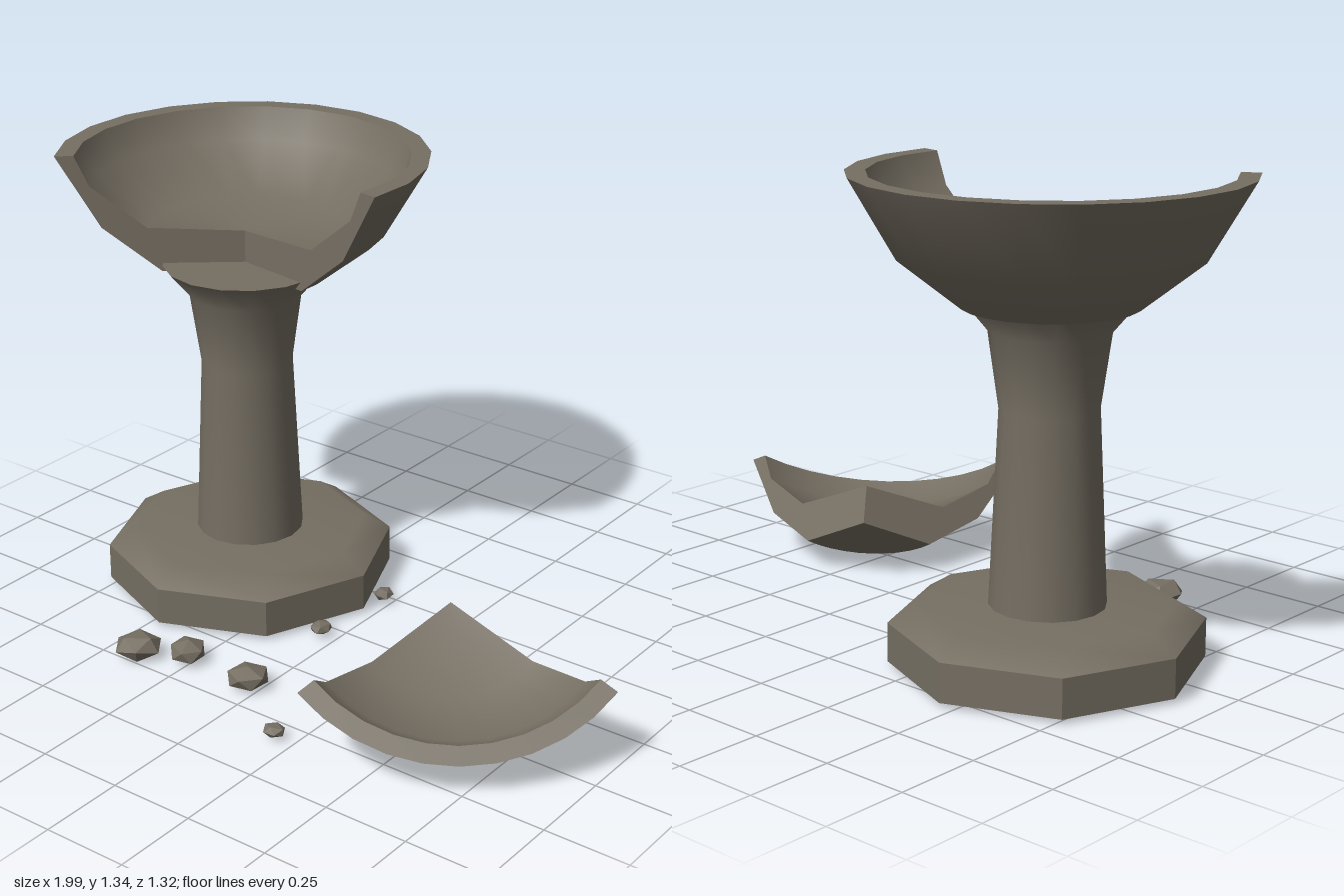
import * as THREE from 'three';
import { mergeGeometries } from 'three/addons/utils/BufferGeometryUtils.js';

const rad = THREE.MathUtils.degToRad;
const pts = (list) => list.map(([x, y]) => new THREE.Vector2(x, y));

// Bowl cross-section, measured from the centre of the inner floor
const outer = [[0.24, -0.12], [0.41, 0.015], [0.535, 0.23]];
const inner = [[0.48, 0.23], [0.44, 0.14], [0.28, 0.013], [0, 0]];
const bottom = [[0, -0.12], outer[0]];
const rim = [outer[2], inner[0]];

// Wedge of the bowl between two angles (0 faces +z), closed by flat broken faces
function bowlPiece(start, length, segments) {
  const parts = [bottom, outer, rim, inner].map((p) =>
    new THREE.LatheGeometry(pts(p), segments, start, length));
  const section = [bottom[0], ...outer, ...inner];
  const cap = (sign, angle) => {
    const shape = new THREE.Shape(pts(section.map(([r, y]) => [sign * r, y])));
    return new THREE.ShapeGeometry(shape).rotateY(angle - sign * Math.PI / 2);
  };
  parts.push(cap(1, start), cap(-1, start + length));
  return mergeGeometries(parts);
}

export function createModel() {
  const model = new THREE.Group();
  const stone = new THREE.MeshStandardMaterial({ color: 0x756e62 });
  stone.name = 'weathered stone';

  const add = (name, geometry, parent = model) => {
    const mesh = new THREE.Mesh(geometry, stone);
    mesh.name = name;
    parent.add(mesh);
    return mesh;
  };

  const pedestal = new THREE.Group();
  pedestal.name = 'pedestal';
  pedestal.position.set(-0.463, 0, -0.13);
  model.add(pedestal);

  // Octagonal base with a bevelled top
  const slab = new THREE.CylinderGeometry(0.43, 0.43, 0.11, 8).toNonIndexed();
  slab.computeVertexNormals();
  add('baseSlab', slab, pedestal).position.y = 0.075;
  add('baseBevel', new THREE.LatheGeometry(pts([[0.43, 0.13], [0.35, 0.18], [0, 0.18]]), 8), pedestal);

  // Flared column
  const column = [[0.16, 0.18], [0.135, 0.72], [0.165, 0.93], [0.24, 1.02]];
  add('column', new THREE.LatheGeometry(pts(column), 16), pedestal);
  add('columnTop', new THREE.CircleGeometry(0.24, 16).rotateX(-Math.PI / 2), pedestal).position.y = 1.02;

  // Broken bowl, open toward the front
  add('bowl', bowlPiece(rad(80.5), rad(229), 14), pedestal).position.y = 1.115;

  // Fallen piece of the bowl lying tilted on the ground
  const shard = add('bowlShard', bowlPiece(rad(-51), rad(102), 10));
  shard.position.set(0.42, 0.283, 0.08);
  shard.rotation.set(rad(40.4), rad(37.2), 0, 'YXZ');

  // Scattered rubble: x, z, radius, turn
  const rubble = [
    [-0.395, 0.465, 0.072, 0.3], [-0.265, 0.4, 0.062, 1.1], [-0.035, 0.41, 0.065, 2.0],
    [-0.05, 0.055, 0.036, 0.7], [0.19, 0.575, 0.034, 1.6], [-0.025, -0.22, 0.034, 2.6],
  ];
  rubble.forEach(([x, z, r, turn], i) => {
    const rock = new THREE.IcosahedronGeometry(r, 0)
      .rotateX(turn).scale(1, 0.55, 0.9).rotateY(turn * 2);
    add('rubble' + (i + 1), rock).position.set(x, r > 0.05 ? 0.042 : 0.034, z);
  });

  return model;
}
